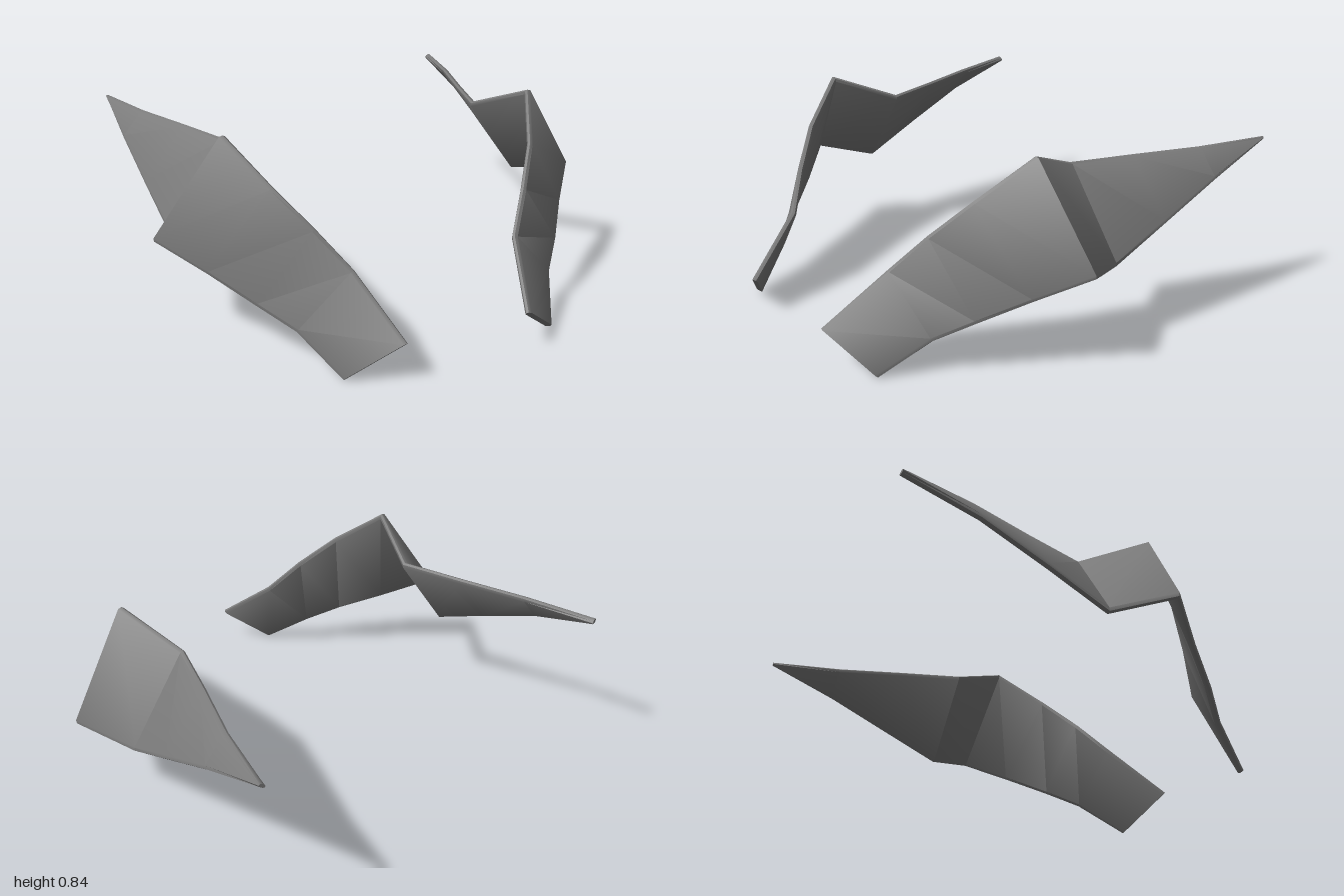
import * as THREE from 'three';
import { toCreasedNormals } from 'three/addons/utils/BufferGeometryUtils.js';

// Stations from front end to rear tip: upper edge xyz, lower edge xyz
const STATIONS = [
  [0.27, 0.172, 0.915, 0.475, 0.008, 0.795],
  [0.365, 0.385, 0.66, 0.585, 0.152, 0.612],
  [0.475, 0.535, 0.55, 0.70, 0.235, 0.49],
  [0.59, 0.68, 0.42, 0.835, 0.33, 0.325],
  [0.705, 0.845, 0.22, 0.988, 0.43, 0.16],
  [0.60, 0.732, -0.055, 0.865, 0.37, -0.07],
  [0.685, 0.732, -0.32, 0.876, 0.49, -0.33],
  [0.785, 0.732, -0.61, 0.882, 0.615, -0.61],
  [0.863, 0.734, -0.92, 0.869, 0.722, -0.92],
];
const HALF_THICKNESS = 0.013;
const BEVEL = 0.012;

// Bevelled plate lofted through the stations; side is +1 or -1
function bladeGeometry(side) {
  const rows = STATIONS.map((s) => {
    const up = new THREE.Vector3(s[0], s[1], s[2]);
    const low = new THREE.Vector3(s[3], s[4], s[5]);
    const across = low.clone().sub(up);
    const width = across.length();
    return { up, low, width, across: across.normalize(), mid: up.clone().add(low).multiplyScalar(0.5) };
  });

  // Outward normal of each panel between two stations
  const panel = rows.slice(1).map((r, i) => {
    const along = r.mid.clone().sub(rows[i].mid);
    return r.across.clone().add(rows[i].across).cross(along).normalize();
  });

  const positions = [];
  rows.forEach((r, i) => {
    const a = panel[Math.max(i - 1, 0)];
    const b = panel[Math.min(i, panel.length - 1)];
    const n = a.clone().add(b).normalize();
    n.multiplyScalar(HALF_THICKNESS / Math.max(0.5, n.dot(a)));
    const inset = Math.min(BEVEL, r.width * 0.3);
    const add = (p, w, h) => {
      const v = p.clone().addScaledVector(r.across, w).addScaledVector(n, h);
      positions.push(v.x * side, v.y, v.z);
    };
    add(r.up, inset, 1);
    add(r.low, -inset, 1);
    add(r.low, 0, 0.4);
    add(r.low, 0, -0.4);
    add(r.low, -inset, -1);
    add(r.up, inset, -1);
    add(r.up, 0, -0.4);
    add(r.up, 0, 0.4);
  });

  const index = [];
  const tri = (a, b, c) => (side > 0 ? index.push(a, b, c) : index.push(a, c, b));
  const N = 8;
  for (let i = 0; i < rows.length - 1; i++) {
    for (let j = 0; j < N; j++) {
      const a = i * N + j;
      const b = i * N + ((j + 1) % N);
      tri(a, b, b + N);
      tri(a, b + N, a + N);
    }
  }
  // End caps
  const last = (rows.length - 1) * N;
  for (let j = 1; j < N - 1; j++) {
    tri(0, j + 1, j);
    tri(last, last + j, last + j + 1);
  }

  const geometry = new THREE.BufferGeometry();
  geometry.setAttribute('position', new THREE.Float32BufferAttribute(positions, 3));
  geometry.setIndex(index);
  return toCreasedNormals(geometry, 0.62);
}

export function createModel() {
  const group = new THREE.Group();
  group.name = 'bladePair';
  const grey = new THREE.MeshStandardMaterial({ color: 0x7a7a7a });
  grey.name = 'grey';

  for (const [name, side] of [['leftBlade', 1], ['rightBlade', -1]]) {
    const blade = new THREE.Mesh(bladeGeometry(side), grey);
    blade.name = name;
    group.add(blade);
  }
  return group;
}
